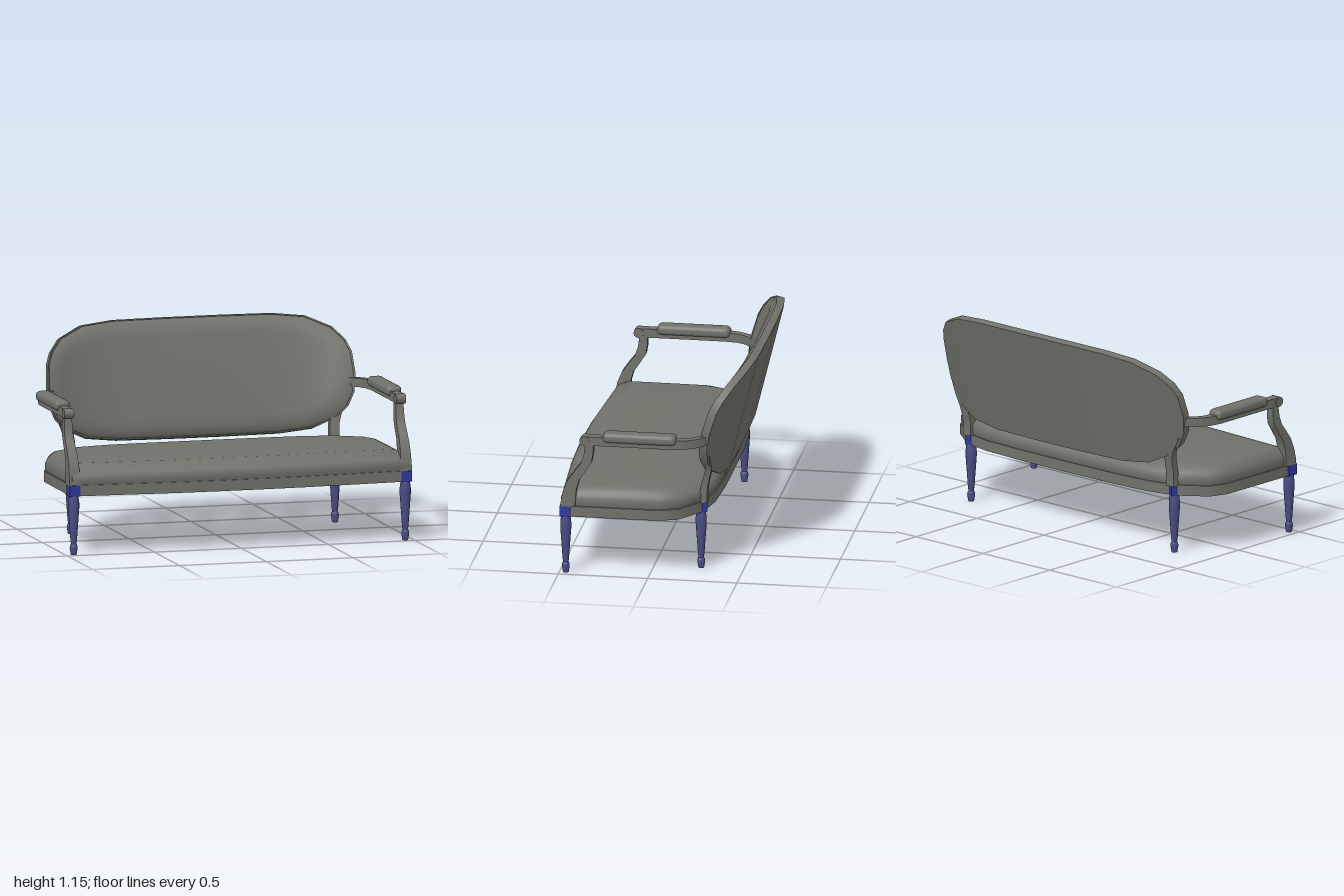
import * as THREE from 'three';
import { toCreasedNormals } from 'three/addons/utils/BufferGeometryUtils.js';
import { RoundedBoxGeometry } from 'three/addons/geometries/RoundedBoxGeometry.js';

const grey = new THREE.MeshStandardMaterial({ color: 0x70726a });
const legBlue = new THREE.MeshStandardMaterial({ color: 0x484d84 });
const blockBlue = new THREE.MeshStandardMaterial({ color: 0x31389c });

function part(parent, name, geometry, material = grey) {
  const mesh = new THREE.Mesh(geometry, material);
  mesh.name = name;
  parent.add(mesh);
  return mesh;
}

// Full outline (counter-clockwise) from its right half, listed bottom to top
const mirrored = (half) => [...half, ...half.map(([x, y]) => [-x, y]).reverse()];

// Pull an outline towards its centre by ix and iy
function inset(outline, ix, iy) {
  const xs = outline.map((p) => p[0]), ys = outline.map((p) => p[1]);
  const hx = Math.max(...xs), top = Math.max(...ys), bottom = Math.min(...ys);
  const cy = (top + bottom) / 2, hy = (top - bottom) / 2;
  return outline.map(([x, y]) => [x * (1 - ix / hx), cy + (y - cy) * (1 - iy / hy)]);
}

// Skin a stack of inset outlines [insetX, insetY, height], closed at both ends by upright strips
function stack(outline, rings, place = (x, y, h) => [x, y, h]) {
  const n = outline.length, m = n / 2, c = (m - 1) / 2, last = (rings.length - 1) * n;
  const pos = [], index = [];
  const tri = (p, q, r) => { if (p !== q && q !== r && r !== p) index.push(p, q, r); };
  for (const [ix, iy, h] of rings)
    for (const [x, y] of inset(outline, ix, iy)) pos.push(...place(x, y, h));
  for (let i = 0; i < last; i += n) {
    for (let j = 0; j < n; j++) {
      const a = i + j, b = i + ((j + 1) % n);
      tri(a, b, b + n);
      tri(a, b + n, a + n);
    }
  }
  for (let k = -c - 1; k < c; k++) {
    const b0 = (k + n) % n, b1 = (k + 1 + n) % n, t1 = m - 2 - k, t0 = m - 1 - k;
    tri(last + b0, last + b1, last + t1);
    tri(last + b0, last + t1, last + t0);
    tri(b1, b0, t1);
    tri(b0, t0, t1);
  }
  const g = new THREE.BufferGeometry();
  g.setAttribute('position', new THREE.Float32BufferAttribute(pos, 3));
  g.setIndex(index);
  return g;
}

const toShape = (pts) => new THREE.Shape(pts.map(([x, y]) => new THREE.Vector2(x, y)));
const extrude = (shape, depth) => new THREE.ExtrudeGeometry(shape, { depth, bevelEnabled: false });

// Seat plan, given as (x, -z)
const seatPlan = mirrored([
  [0.12, -0.535], [0.35, -0.53], [0.65, -0.511], [0.975, -0.49], [0.975, -0.2], [0.972, 0.06],
  [0.935, 0.16], [0.78, 0.275], [0.6, 0.315], [0.35, 0.328], [0.12, 0.33],
]);

// Oval back as seen from the front
const backOval = mirrored([
  [0.15, 0.487], [0.47, 0.491], [0.65, 0.512], [0.78, 0.572], [0.84, 0.635], [0.873, 0.71], [0.885, 0.81],
  [0.875, 0.93], [0.847, 0.995], [0.783, 1.062], [0.645, 1.12], [0.46, 1.138], [0.15, 1.14],
]);

function buildSeat(model) {
  const shape = toShape(seatPlan);
  shape.holes.push(new THREE.Path(inset(seatPlan, 0.05, 0.05).map(([x, y]) => new THREE.Vector2(x, y))));
  part(model, 'seatRail', toCreasedNormals(extrude(shape, 0.06).rotateX(-Math.PI / 2).translate(0, 0.33, 0), 0.6));

  const rings = [
    [0.046, 0.04, 0.36], [0.046, 0.03, 0.385], [0.01, 0.008, 0.385], [0.006, 0.001, 0.41], [0.006, 0.001, 0.437],
    [0.014, 0.013, 0.455], [0.028, 0.04, 0.475], [0.042, 0.075, 0.49], [0.065, 0.115, 0.498],
  ];
  part(model, 'seatCushion', toCreasedNormals(stack(seatPlan, rings).rotateX(-Math.PI / 2), 0.9));
}

function buildBack(model) {
  // Leans backwards and wraps forwards at both ends
  const place = (x, y, h) => [
    x, y + h * 0.25, -0.375 - (y - 0.487) * 0.248 + 0.13 * Math.pow(Math.abs(x) / 0.885, 5) + h,
  ];
  const frame = [[0, 0, 0], [0, 0, 0.043], [0.008, 0.006, 0.044], [0.014, 0.011, 0.036]];
  part(model, 'backFrame', toCreasedNormals(stack(backOval, frame, place), 0.6));
  const pad = [[0.009, 0.007, 0.03], [0.01, 0.008, 0.044], [0.03, 0.022, 0.056], [0.07, 0.052, 0.069],
    [0.12, 0.1, 0.071]];
  part(model, 'backCushion', toCreasedNormals(stack(backOval, pad, place), 0.9));
}

function buildLeg(side, name, [x, z], turn, size) {
  const profile = [[0, 0], [0.016, 0], [0.022, 0.035], [0.021, 0.05], [0.015, 0.06],
    [0.018, 0.08], [0.031, 0.26], [0.031, 0.29], [0.026, 0.33]];
  const leg = new THREE.LatheGeometry(profile.map(([r, y]) => new THREE.Vector2(r, y)), 14);
  part(side, name, toCreasedNormals(leg, 0.6), legBlue).position.set(x, 0, z);
  const block = part(side, name + 'Block', new THREE.BoxGeometry(size, 0.061, size), blockBlue);
  block.position.set(x, 0.36, z);
  block.rotation.y = turn;
}

function buildSide() {
  const side = new THREE.Group();
  buildLeg(side, 'frontLeg', [0.954, 0.465], 0, 0.062);
  buildLeg(side, 'backLeg', [0.76, -0.262], 0.45, 0.054);

  // Swept arm post: side profile (z, y) extruded across x, narrowing upwards
  const post = toShape([[0.491, 0.39], [0.487, 0.43], [0.475, 0.485], [0.45, 0.545], [0.415, 0.595], [0.38, 0.64],
    [0.362, 0.69], [0.352, 0.76], [0.308, 0.76], [0.309, 0.7], [0.318, 0.65], [0.35, 0.6], [0.385, 0.55],
    [0.402, 0.49], [0.41, 0.39]]);
  const postGeo = extrude(post, 0.064).translate(0, 0, -0.032).rotateY(-Math.PI / 2);
  const p = postGeo.attributes.position;
  for (let i = 0; i < p.count; i++) {
    p.setX(i, 0.954 + p.getX(i) * (1 - 0.32 * (p.getY(i) - 0.39) / 0.37));
  }
  part(side, 'armPost', toCreasedNormals(postGeo, 0.5));

  // Arm rail in plan (x, -z), curving in to meet the back
  const rail = toShape([[0.93, -0.36], [0.98, -0.36], [0.982, 0.13], [0.967, 0.2], [0.93, 0.265], [0.865, 0.32],
    [0.835, 0.295], [0.893, 0.25], [0.92, 0.2], [0.93, 0.13]]);
  part(side, 'armRail', toCreasedNormals(extrude(rail, 0.05).rotateX(-Math.PI / 2).translate(0, 0.75, 0), 0.5));
  const scroll = new THREE.CylinderGeometry(0.028, 0.028, 0.056, 16).rotateZ(Math.PI / 2);
  part(side, 'armScroll', scroll).position.set(0.955, 0.774, 0.357);

  // Arm pad, slightly crowned along its length
  const padGeo = new RoundedBoxGeometry(0.09, 0.068, 0.41, 6, 0.028);
  const q = padGeo.attributes.position;
  for (let i = 0; i < q.count; i++) q.setY(i, q.getY(i) * (1 - 0.2 * (q.getZ(i) / 0.205) ** 2));
  part(side, 'armPad', padGeo).position.set(0.954, 0.8, 0.05);

  // Back post: a box bent along a curve
  const curve = new THREE.CatmullRomCurve3([[0.76, 0.385, -0.278], [0.76, 0.47, -0.281], [0.765, 0.55, -0.3],
    [0.785, 0.61, -0.312], [0.82, 0.68, -0.306]].map((v) => new THREE.Vector3(...v)));
  const bent = new THREE.BoxGeometry(0.056, 1, 0.042, 1, 8, 1);
  const b = bent.attributes.position;
  for (let i = 0; i < b.count; i++) {
    const t = b.getY(i) + 0.5, c = curve.getPoint(t);
    b.setXYZ(i, c.x + b.getX(i), c.y, c.z + b.getZ(i) * (1 - 0.3 * t));
  }
  part(side, 'backPost', toCreasedNormals(bent, 0.5));
  return side;
}

export function createModel() {
  const model = new THREE.Group();
  model.name = 'settee';
  buildSeat(model);
  buildBack(model);
  for (const s of [1, -1]) {
    const side = buildSide();
    side.name = s > 0 ? 'leftSide' : 'rightSide';
    side.scale.x = s;
    model.add(side);
  }
  return model;
}
